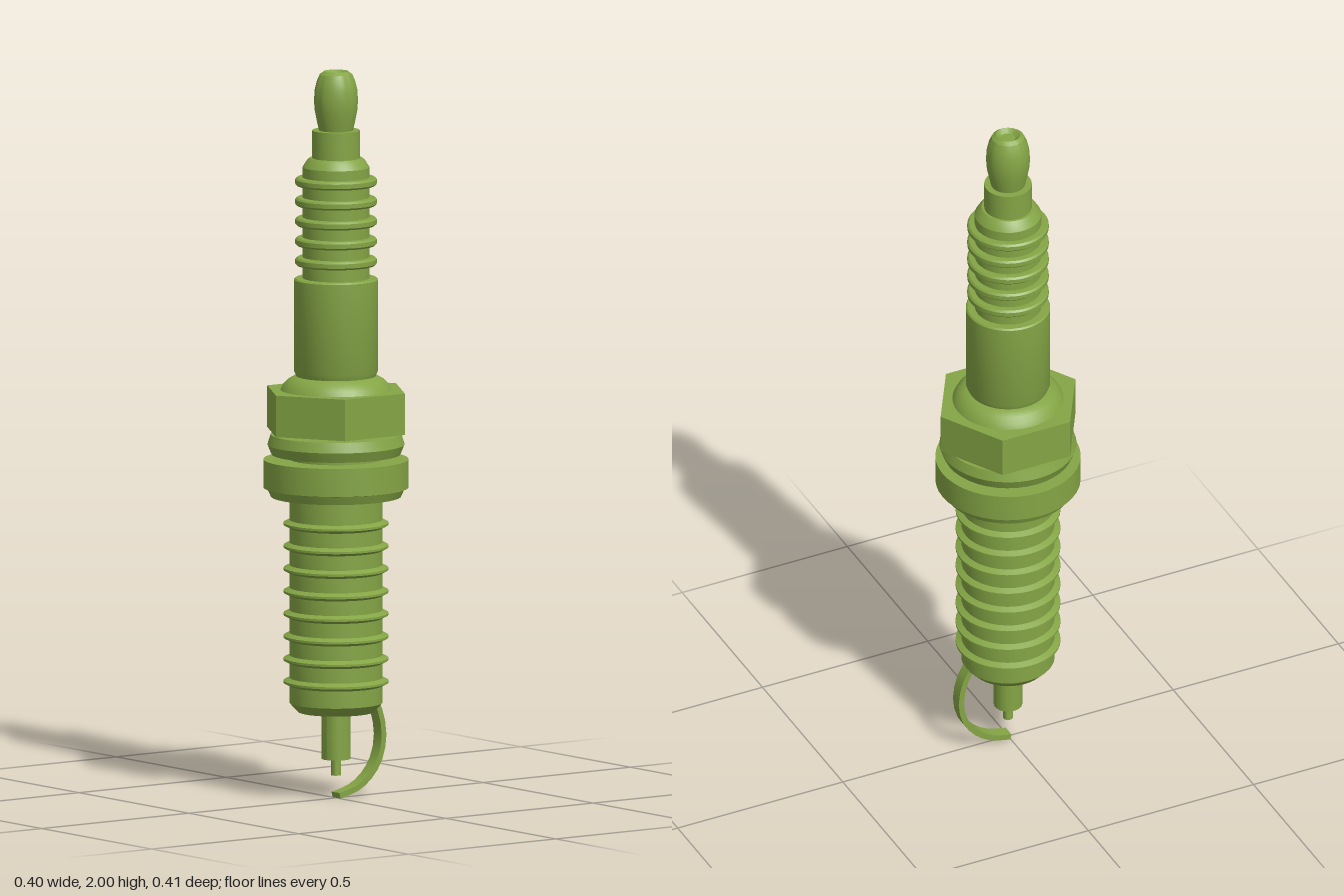
import * as THREE from 'three';
import { toCreasedNormals } from 'three/addons/utils/BufferGeometryUtils.js';

const material = new THREE.MeshStandardMaterial({ color: 0x84a545 });

export function createModel() {
  const model = new THREE.Group();
  model.name = 'sparkPlug';

  const add = (name, geometry) => {
    const mesh = new THREE.Mesh(toCreasedNormals(geometry, 0.5), material);
    mesh.name = name;
    model.add(mesh);
    return mesh;
  };
  // Turned part from [radius, height] pairs, listed bottom to top
  const turn = (name, profile) =>
    add(name, new THREE.LatheGeometry(profile.map(([r, y]) => new THREE.Vector2(r, y)), 40));

  // Centre electrode and insulator nose
  turn('centreElectrode', [[0, 0.065], [0.014, 0.065], [0.014, 0.12]]);
  turn('insulatorNose', [[0, 0.11], [0.039, 0.11], [0.039, 0.25]]);

  // Threaded shell: straight barrel with evenly spaced sharp ridges
  const shell = [[0, 0.24], [0.104, 0.24], [0.127, 0.265]];
  for (let i = 0; i < 8; i++) {
    const y = 0.323 + i * 0.062;
    shell.push([0.127, y - 0.011], [0.143, y - 0.003], [0.143, y + 0.003], [0.127, y + 0.011]);
  }
  shell.push([0.127, 0.86]);
  turn('threadedShell', shell);

  // Seat flange with a chamfered underside, neck and sealing gasket
  turn('seatFlange', [[0.12, 0.832], [0.178, 0.832], [0.188, 0.855], [0.198, 0.857],
    [0.198, 0.934], [0.12, 0.934]]);
  turn('neck', [[0.125, 0.925], [0.125, 1.015]]);
  turn('gasket', [[0.12, 0.948], [0.176, 0.948], [0.187, 0.975], [0.178, 1.003], [0.12, 1.003]]);

  // Hexagonal nut with corners at front and back
  add('hexNut', new THREE.CylinderGeometry(0.204, 0.204, 0.114, 6)).position.y = 1.068;
  turn('crimpedCollar', [[0.152, 1.124], [0.145, 1.138], [0.132, 1.152], [0.115, 1.162], [0.09, 1.166]]);

  // Insulator: smooth lower barrel, then a slimmer ribbed section
  const insulator = [[0.105, 1.155], [0.115, 1.178], [0.115, 1.428], [0.111, 1.432], [0.091, 1.432]];
  for (let i = 0; i < 5; i++) {
    const y = 1.478 + i * 0.0548;
    insulator.push([0.091, y - 0.012], [0.106, y - 0.011], [0.111, y - 0.006],
      [0.111, y + 0.006], [0.106, y + 0.011], [0.091, y + 0.012]);
  }
  insulator.push([0.091, 1.737], [0.081, 1.753], [0.072, 1.762], [0, 1.762]);
  turn('insulator', insulator);

  // Terminal: collar and rounded knob with a shallow dimple in the top
  turn('terminalCollar', [[0.065, 1.755], [0.065, 1.838], [0, 1.838]]);
  turn('terminalKnob', [[0.046, 1.835], [0.052, 1.862], [0.058, 1.892], [0.06, 1.92], [0.058, 1.95],
    [0.052, 1.975], [0.044, 1.992], [0.033, 2], [0.02, 1.99], [0, 1.99]]);

  // Ground strap: flat strip curving from the shell rim to below the electrode
  const path = new THREE.CatmullRomCurve3([
    [0.275, -0.112], [0.235, -0.136], [0.165, -0.15], [0.1, -0.136],
    [0.054, -0.102], [0.025, -0.058], [0.01, 0],
  ].map(([y, z]) => new THREE.Vector3(0, y, z)));
  const outer = [], inner = [];
  for (let i = 0; i <= 12; i++) {
    const p = path.getPoint(i / 12), t = path.getTangent(i / 12);
    // Shape coordinates are (-z, y), offset either way along the normal
    const nx = t.y * 0.008, ny = t.z * 0.008;
    outer.push(new THREE.Vector2(-p.z + nx, p.y + ny));
    inner.unshift(new THREE.Vector2(-p.z - nx, p.y - ny));
  }
  const strap = new THREE.ExtrudeGeometry(new THREE.Shape([...outer, ...inner]),
    { depth: 0.036, bevelEnabled: false });
  strap.translate(0, 0, -0.018).rotateY(Math.PI / 2);
  add('groundStrap', strap);

  return model;
}
